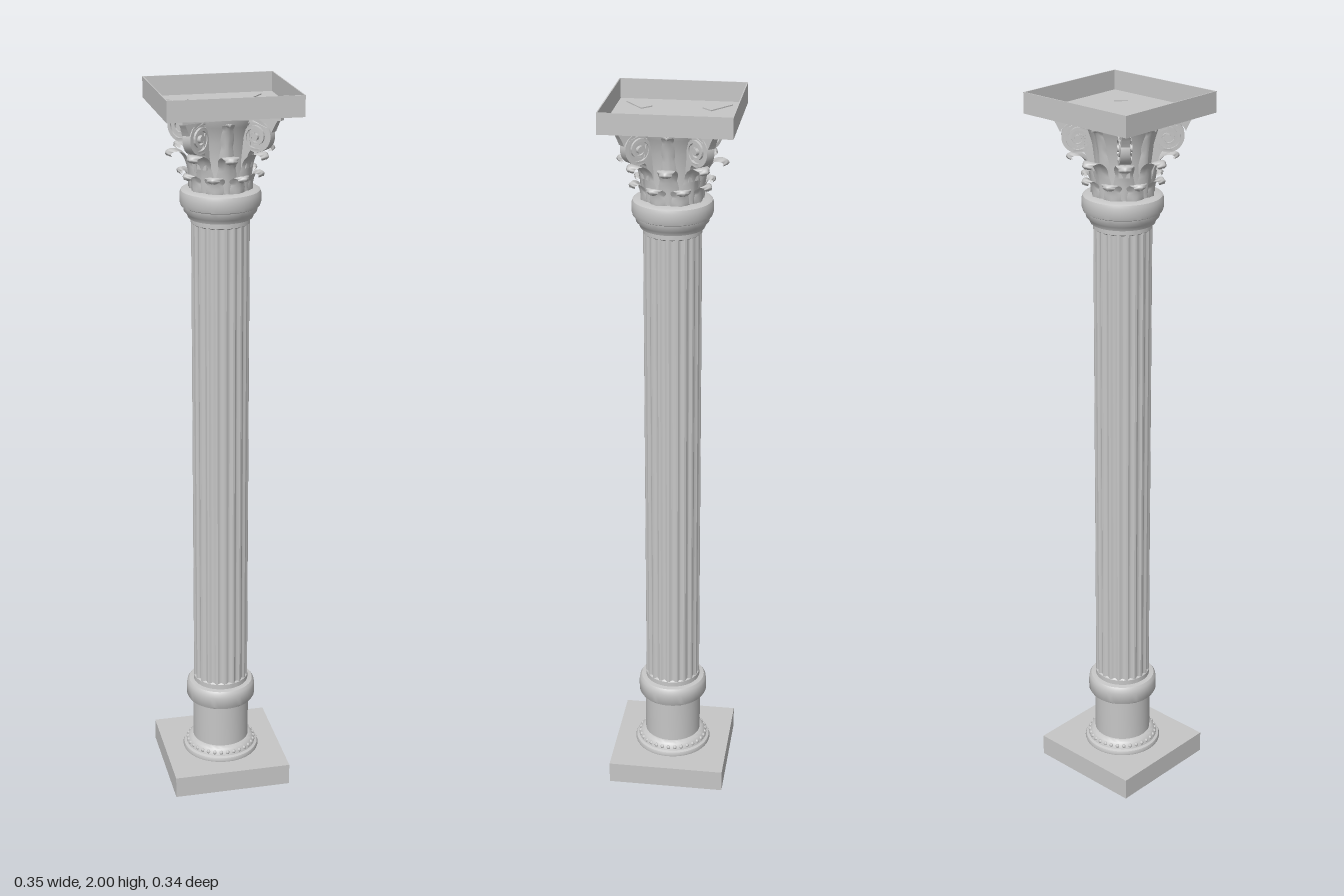
import * as THREE from 'three';
import { toCreasedNormals } from 'three/addons/utils/BufferGeometryUtils.js';

export function createModel() {
  const stone = new THREE.MeshStandardMaterial({ color: 0xc6c6c6, side: THREE.DoubleSide });
  stone.name = 'stone';
  const model = new THREE.Group();
  model.name = 'column';
  const body = new THREE.Group();
  body.name = 'columnBody';
  body.position.set(-0.005, 0, 0.005);
  model.add(body);

  const add = (parent, name, geo, x = 0, y = 0, z = 0) => {
    const m = new THREE.Mesh(geo, stone);
    m.name = name;
    m.position.set(x, y, z);
    parent.add(m);
    return m;
  };
  const lathe = (name, pts, seg = 48) => add(body, name, toCreasedNormals(
    new THREE.LatheGeometry(pts.map(p => new THREE.Vector2(p[0], p[1])), seg), 0.7));

  // Hollow square slab: a thin panel with four thin walls
  const tray = (name, hx, hz, y0, y1, panelY, cx, cz) => {
    const g = new THREE.Group(), t = 0.003, h = y1 - y0, y = (y0 + y1) / 2;
    g.name = name;
    g.position.set(cx, 0, cz);
    add(g, name + 'Panel', new THREE.BoxGeometry(2 * hx, t, 2 * hz), 0, panelY, 0);
    for (const s of [-1, 1]) {
      add(g, name + 'Side', new THREE.BoxGeometry(t, h, 2 * hz), s * (hx - t / 2), y, 0);
      add(g, name + 'Face', new THREE.BoxGeometry(2 * hx, h, t), 0, y, s * (hz - t / 2));
    }
    model.add(g);
  };
  tray('plinth', 0.167, 0.165, 0, 0.062, 0.0605, -0.004, 0.004);
  tray('abacus', 0.176, 0.169, 1.945, 2, 1.9465, 0, 0);

  // Base moulding, pedestal drum and lower collar
  lathe('baseMoulding', [[0.108, 0.06], [0.11, 0.066], [0.107, 0.074], [0.1, 0.077], [0.097, 0.086],
    [0.091, 0.094], [0.084, 0.099], [0.079, 0.1]]);
  const beads = new THREE.SphereGeometry(0.006, 8, 6);
  for (let i = 0; i < 32; i++) {
    const a = i / 32 * Math.PI * 2;
    add(body, 'baseBead', beads, 0.095 * Math.cos(a), 0.085, 0.095 * Math.sin(a));
  }
  lathe('lowerDrum', [[0.08, 0.095], [0.08, 0.235]]);
  lathe('lowerCollar', [[0.079, 0.23], [0.094, 0.23], [0.098, 0.237], [0.098, 0.265], [0.096, 0.277],
    [0.091, 0.284], [0.077, 0.286]]);

  // Fluted shaft with plain bands at its ends
  const flutes = 20, steps = 8, outline = [];
  for (let i = 0; i < flutes * steps; i++) {
    const a = i / (flutes * steps) * Math.PI * 2, u = (i % steps) / steps;
    const r = 0.0775 - (u < 0.75 ? 0.0045 * Math.sin(u / 0.75 * Math.PI) : 0);
    outline.push(new THREE.Vector2(r * Math.cos(a), r * Math.sin(a)));
  }
  const shaft = new THREE.ExtrudeGeometry(new THREE.Shape(outline), { depth: 1.39, bevelEnabled: false });
  shaft.rotateX(-Math.PI / 2);
  add(body, 'flutedShaft', toCreasedNormals(shaft, 0.5), 0, 0.28, 0);
  lathe('shaftFoot', [[0.078, 0.28], [0.078, 0.3], [0.073, 0.304]]);
  lathe('shaftNeck', [[0.073, 1.642], [0.078, 1.646], [0.078, 1.67]]);

  // Stepped collar under the capital
  lathe('upperCollar', [[0.074, 1.66], [0.085, 1.66], [0.089, 1.67], [0.096, 1.677], [0.098, 1.69],
    [0.104, 1.693], [0.107, 1.703], [0.107, 1.724], [0.104, 1.733], [0.097, 1.737], [0.06, 1.737]]);

  // Capital bell
  lathe('bell', [[0.078, 1.73], [0.074, 1.76], [0.074, 1.82], [0.08, 1.87], [0.092, 1.91], [0.105, 1.935], [0.105, 1.944]]);

  // Concave-sided plate on the bell
  const plate = new THREE.Shape();
  for (let i = 0; i < 4; i++) {
    const a = Math.PI / 4 + i * Math.PI / 2, b = a + Math.PI / 2;
    const at = (ang, r) => [r * Math.cos(ang), r * Math.sin(ang)];
    if (i === 0) plate.moveTo(...at(a + 0.04, 0.185));
    plate.quadraticCurveTo(...at((a + b) / 2, 0.075), ...at(b - 0.04, 0.185));
    plate.lineTo(...at(b + 0.04, 0.185));
  }
  const plateGeo = new THREE.ExtrudeGeometry(plate, { depth: 0.012, bevelEnabled: false, curveSegments: 14 });
  plateGeo.rotateX(-Math.PI / 2);
  add(body, 'concavePlate', toCreasedNormals(plateGeo, 0.5), 0, 1.932, 0);

  // Curling leaf: a lobed, ridged strip swept along a profile of [radius, height]
  const leafGeometry = (profile, width) => {
    const curve = new THREE.CatmullRomCurve3(profile.map(p => new THREE.Vector3(0, p[1], p[0])));
    const rows = 28, cols = 6, pos = [], index = [];
    for (let i = 0; i <= rows; i++) {
      const t = i / rows, p = curve.getPoint(t);
      const lobes = 0.82 + 0.18 * Math.abs(Math.sin(t * Math.PI * 4));
      const w = width * lobes * Math.sqrt(Math.max(0.03, 1 - Math.pow(t, 2.5)));
      for (let j = 0; j <= cols; j++) {
        const s = j / cols * 2 - 1;
        const ridge = 0.005 * (1 - Math.abs(s)) + (j % 2 ? 0.002 : 0);
        pos.push(s * w, p.y - 0.004 * s * s, p.z + ridge - 0.006 * s * s);
        if (i < rows && j < cols) {
          const a = i * (cols + 1) + j, c = a + cols + 1;
          index.push(a, a + 1, c, a + 1, c + 1, c);
        }
      }
    }
    const g = new THREE.BufferGeometry();
    g.setAttribute('position', new THREE.Float32BufferAttribute(pos, 3));
    g.setIndex(index);
    g.computeVertexNormals();
    return g;
  };
  const lowLeaf = leafGeometry([[0.078, 1.735], [0.08, 1.76], [0.088, 1.78], [0.1, 1.787], [0.109, 1.781], [0.107, 1.772]], 0.028);
  const highLeaf = leafGeometry([[0.076, 1.74], [0.08, 1.79], [0.092, 1.825], [0.112, 1.843], [0.132, 1.844], [0.139, 1.835], [0.134, 1.828]], 0.027);
  const stemLeaf = leafGeometry([[0.076, 1.79], [0.08, 1.85], [0.088, 1.895], [0.1, 1.92], [0.108, 1.925], [0.11, 1.918]], 0.02);
  for (let i = 0; i < 8; i++) {
    const a = i * Math.PI / 4;
    add(body, 'lowerLeaf', lowLeaf).rotation.y = a + Math.PI / 8;
    add(body, 'upperLeaf', highLeaf).rotation.y = a;
    if (i % 2 === 0) add(body, 'stemLeaf', stemLeaf).rotation.y = a;
  }

  // Corner volutes, modelled along +x and turned to each diagonal
  const cx = 0.114, cy = 1.885;
  const taper = g => {
    const p = g.attributes.position;
    for (let i = 0; i < p.count; i++) {
      const k = THREE.MathUtils.clamp((p.getX(i) - 0.11) / 0.08, 0, 1);
      p.setZ(i, p.getZ(i) * THREE.MathUtils.lerp(1, 0.4, k));
    }
    return toCreasedNormals(g, 0.5);
  };
  const slab = (shape, half) => {
    const g = new THREE.ExtrudeGeometry(shape, { depth: 2 * half, bevelEnabled: false, curveSegments: 10 });
    g.translate(0, 0, -half);
    return taper(g);
  };

  // Spiral band that narrows towards the eye
  const outer = [], inner = [], turns = 2.1;
  for (let i = 0; i <= 60; i++) {
    const t = i / 60, a = Math.PI * 0.75 - t * turns * Math.PI * 2;
    const r = 0.05 * (1 - t) + 0.011 * t, w = 0.011 * (1 - t) + 0.005 * t;
    outer.push(new THREE.Vector2(cx + r * Math.cos(a), cy + r * Math.sin(a)));
    inner.unshift(new THREE.Vector2(cx + (r - w) * Math.cos(a), cy + (r - w) * Math.sin(a)));
  }
  const spiral = slab(new THREE.Shape([...outer, ...inner]), 0.018);
  const disc = new THREE.Shape();
  disc.absarc(cx, cy, 0.04, 0, Math.PI * 2);
  const web = slab(disc, 0.011);
  const eye = new THREE.CylinderGeometry(0.009, 0.009, 0.038, 16);
  eye.rotateX(Math.PI / 2);

  // Horn over the scroll and the stalk that feeds it
  const horn = new THREE.Shape();
  horn.moveTo(0.11, 1.951);
  horn.lineTo(0.191, 1.951);
  horn.quadraticCurveTo(0.172, 1.93, 0.16, 1.9);
  horn.quadraticCurveTo(0.148, 1.93, 0.11, 1.93);
  const hornGeo = slab(horn, 0.018);
  const stalk = new THREE.Shape();
  stalk.moveTo(0.065, 1.8);
  stalk.lineTo(0.088, 1.8);
  stalk.quadraticCurveTo(0.088, 1.84, 0.102, 1.85);
  stalk.lineTo(0.09, 1.92);
  stalk.quadraticCurveTo(0.068, 1.89, 0.065, 1.8);
  const stalkGeo = slab(stalk, 0.015);
  for (let i = 0; i < 4; i++) {
    const v = new THREE.Group();
    v.name = 'cornerVolute';
    v.rotation.y = Math.PI / 4 + i * Math.PI / 2;
    add(v, 'voluteSpiral', spiral);
    add(v, 'voluteWeb', web);
    add(v, 'voluteEye', eye, cx, cy, 0);
    add(v, 'voluteHorn', hornGeo);
    add(v, 'voluteStalk', stalkGeo);
    body.add(v);
  }
  return model;
}
